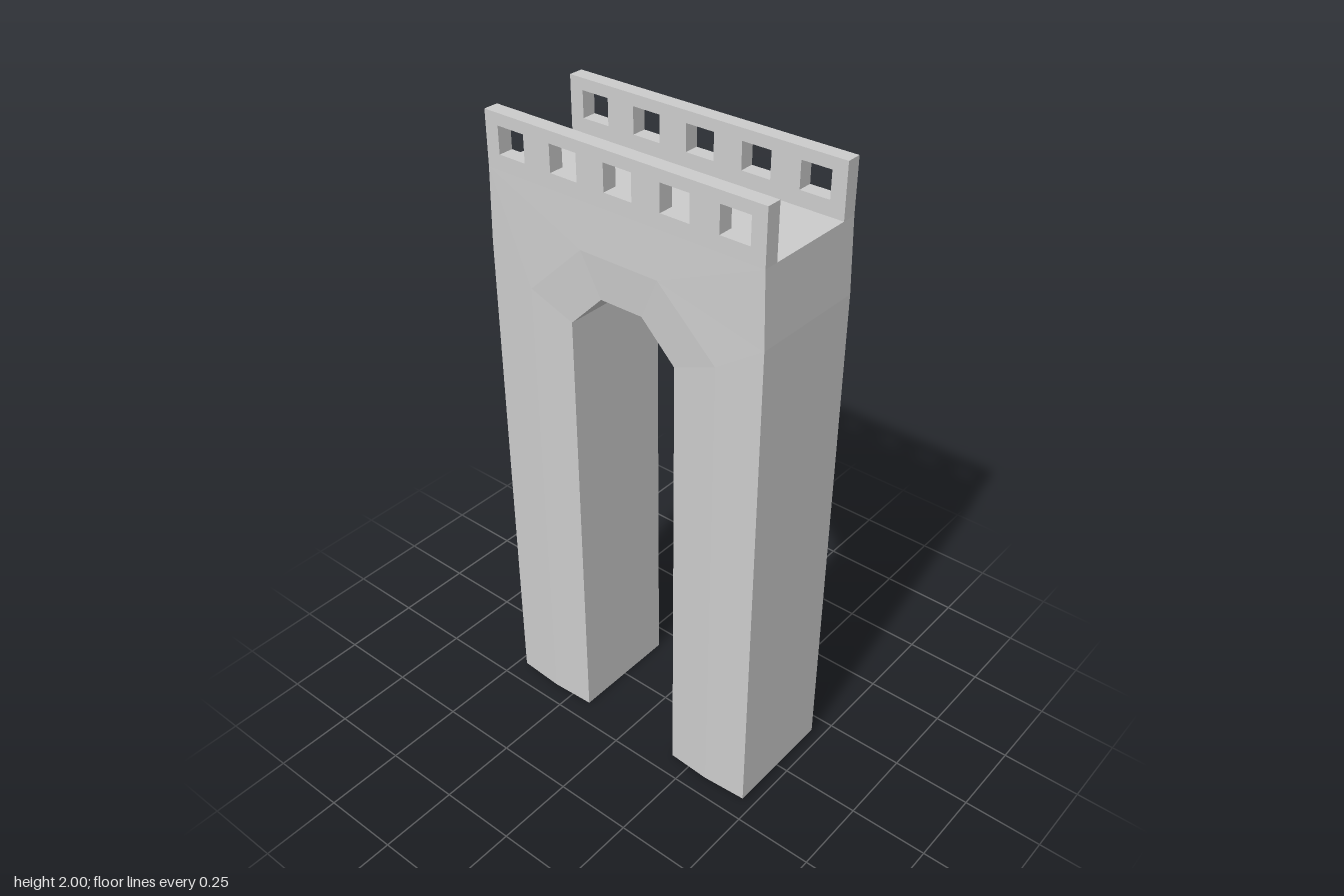
import * as THREE from 'three';

const material = new THREE.MeshStandardMaterial({ color: 0xcccccc, flatShading: true });

// Arch pier: a faceted ring section lofted up one leg, over the crown and down the other
function archGeometry() {
  // Per station: inner edge, ridge and outer edge as [x, y]
  const half = [
    [[0.18, 0], [0.32, 0.003], [0.465, 0.01]],           // foot
    [[0.18, 1.46], [0.32, 1.52], [0.465, 1.62]],         // spring of the arch
    [[0.07, 1.57], [0.13, 1.70], [0.457, 1.84]],         // crown and deck edge
  ];
  const depth = [0.181, 0.19, 0.186];
  const section = (station, side) => {
    const at = (k, s) => [station[k][0] * side, station[k][1], depth[k] * s];
    return [at(0, -1), at(0, 1), at(1, 1), at(2, 1), at(2, -1), at(1, -1)];
  };
  const rings = [
    ...half.map((s) => section(s, -1)),
    ...half.slice().reverse().map((s) => section(s, 1)),
  ];

  const positions = [];
  const tri = (...corners) => corners.forEach((c) => positions.push(...c));
  for (let i = 0; i < rings.length - 1; i++) {
    const a = rings[i], b = rings[i + 1];
    for (let j = 0; j < 6; j++) {
      const n = (j + 1) % 6;
      tri(a[j], b[j], b[n]);
      tri(a[j], b[n], a[n]);
    }
  }
  // Undersides of the two feet
  const first = rings[0], last = rings[rings.length - 1];
  for (let j = 1; j < 5; j++) {
    tri(first[0], first[j], first[j + 1]);
    tri(last[0], last[j + 1], last[j]);
  }
  const geometry = new THREE.BufferGeometry();
  geometry.setAttribute('position', new THREE.Float32BufferAttribute(positions, 3));
  geometry.computeVertexNormals();
  return geometry;
}

function rectangle(path, x0, y0, x1, y1) {
  path.moveTo(x0, y0);
  path.lineTo(x1, y0);
  path.lineTo(x1, y1);
  path.lineTo(x0, y1);
  path.closePath();
  return path;
}

// Parapet wall with five square openings
function parapetGeometry() {
  const shape = rectangle(new THREE.Shape(), -0.457, 1.84, 0.457, 2);
  for (let i = -2; i <= 2; i++) {
    const x = i * 0.183;
    shape.holes.push(rectangle(new THREE.Path(), x - 0.046, 1.885, x + 0.046, 1.965));
  }
  return new THREE.ExtrudeGeometry(shape, { depth: 0.046, bevelEnabled: false });
}

export function createModel() {
  const group = new THREE.Group();
  group.name = 'bridgeArch';

  const arch = new THREE.Mesh(archGeometry(), material);
  arch.name = 'archPier';
  group.add(arch);

  const wall = parapetGeometry();
  for (const [name, z] of [['frontParapet', 0.14], ['backParapet', -0.186]]) {
    const parapet = new THREE.Mesh(wall, material);
    parapet.name = name;
    parapet.position.z = z;
    group.add(parapet);
  }
  return group;
}
